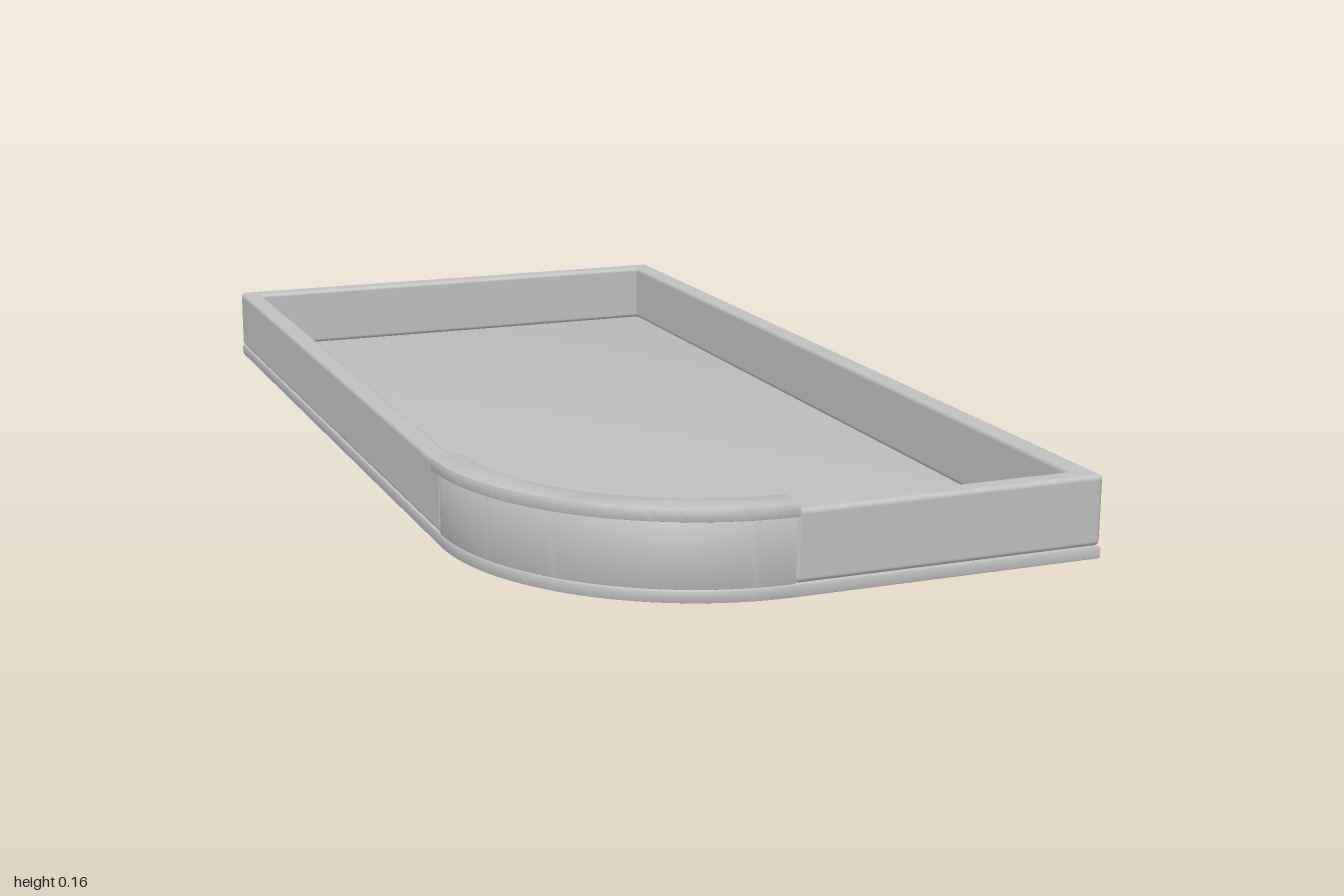
import * as THREE from 'three';
import { toCreasedNormals } from 'three/addons/utils/BufferGeometryUtils.js';
import { RoundedBoxGeometry } from 'three/addons/geometries/RoundedBoxGeometry.js';

// Plan of the tray: rounded corner at -x, +z
const CX = -0.05, CZ = 0.545, R = 0.44;
const LEFT = CX - R, RIGHT = 0.5, BACK = -1, FRONT = CZ + R;
const WALL = 0.04, BASE_TOP = 0.022, WALL_TOP = 0.143, CAP_BOTTOM = 0.135;

export function createModel() {
  const group = new THREE.Group();
  const grey = new THREE.MeshStandardMaterial({ color: 0xc0c0c0 });
  grey.name = 'grey';

  function add(name, geometry) {
    const mesh = new THREE.Mesh(geometry, grey);
    mesh.name = name;
    group.add(mesh);
    return mesh;
  }

  // Upright slab from a plan shape (shape y becomes z), with softened edges
  function slab(name, shape, bottom, top, bevel) {
    const g = new THREE.ExtrudeGeometry(shape, {
      depth: top - bottom - 2 * bevel, curveSegments: 32, bevelEnabled: true,
      bevelThickness: bevel, bevelSize: bevel, bevelOffset: -bevel, bevelSegments: 2,
    });
    g.rotateX(Math.PI / 2);
    g.translate(0, top - bevel, 0);
    add(name, toCreasedNormals(g, 0.6));
  }

  // Straight wall with rounded edges
  function wall(name, x0, x1, z0, z1) {
    const g = new RoundedBoxGeometry(x1 - x0, WALL_TOP - BASE_TOP, z1 - z0, 3, 0.009);
    add(name, g).position.set((x0 + x1) / 2, (WALL_TOP + BASE_TOP) / 2, (z0 + z1) / 2);
  }

  // Quarter ring around the rounded corner
  function quarterRing(inner, outer) {
    const s = new THREE.Shape();
    s.absarc(CX, CZ, outer, Math.PI / 2, Math.PI, false);
    s.absarc(CX, CZ, inner, Math.PI, Math.PI / 2, true);
    s.closePath();
    return s;
  }

  // Base plate
  const plan = new THREE.Shape();
  plan.moveTo(LEFT, BACK);
  plan.lineTo(RIGHT, BACK);
  plan.lineTo(RIGHT, FRONT);
  plan.lineTo(CX, FRONT);
  plan.absarc(CX, CZ, R, Math.PI / 2, Math.PI, false);
  plan.closePath();
  slab('basePlate', plan, 0, BASE_TOP, 0.003);

  // Straight walls
  wall('backWall', LEFT, RIGHT, BACK, BACK + WALL);
  wall('leftWall', RIGHT - WALL, RIGHT, BACK, FRONT);
  wall('rightWall', LEFT, LEFT + WALL, BACK, CZ);
  wall('frontWall', CX, RIGHT, FRONT - WALL, FRONT);

  // Curved corner wall and its overhanging cap
  slab('curvedWall', quarterRing(R - WALL, R), BASE_TOP, CAP_BOTTOM, 0.002);
  slab('curvedCap', quarterRing(R - WALL - 0.004, R + 0.014), CAP_BOTTOM, 0.157, 0.002);

  return group;
}
